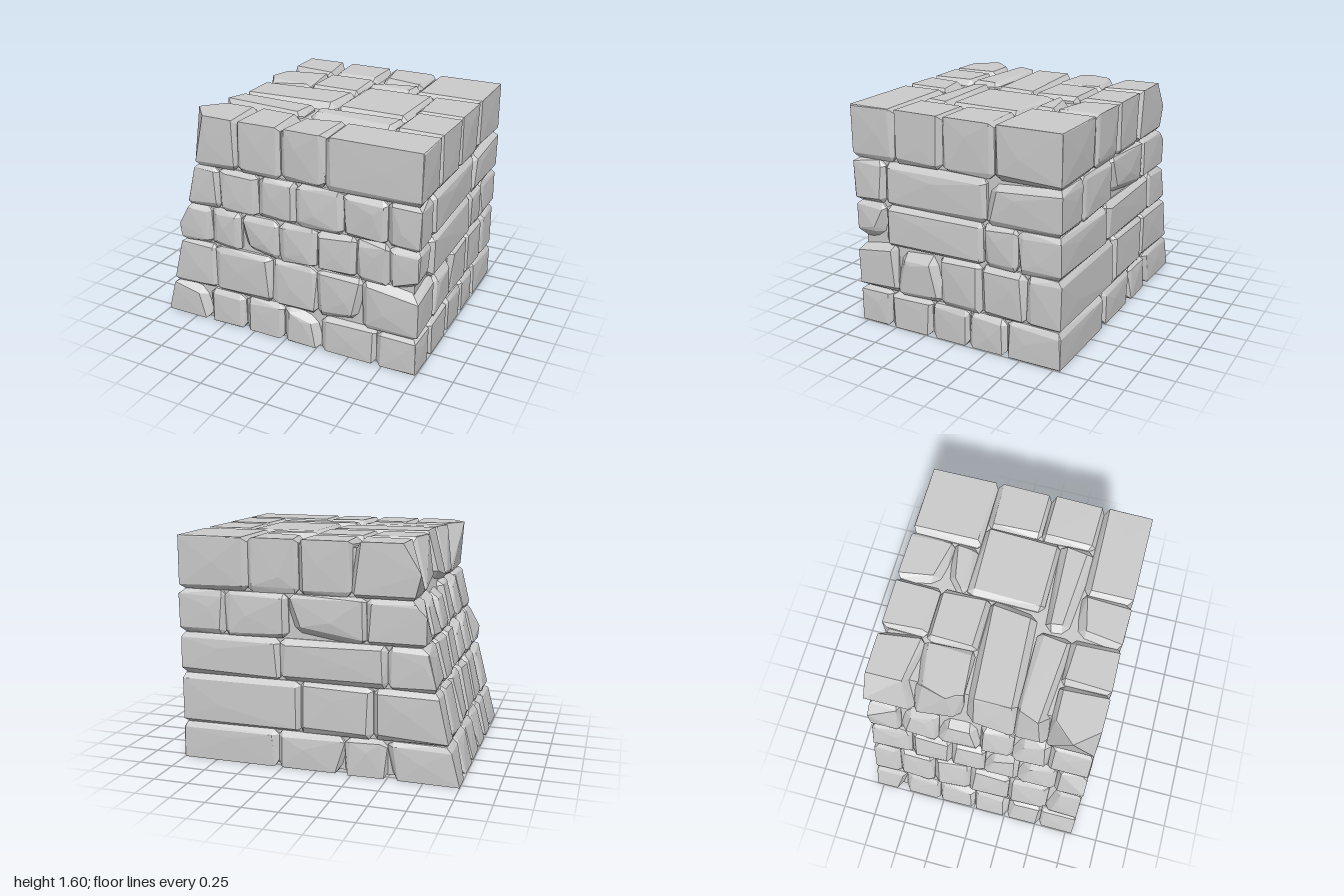
import * as THREE from 'three';
import { ConvexGeometry } from 'three/addons/geometries/ConvexGeometry.js';

const HALF_X = 1, HALF_Z = 0.8, TOP = 1.6, SLOPE = 0.25;

// Small seeded random generator
let seed = 11;
function rnd(a = 0, b = 1) {
  seed = (seed * 1664525 + 1013904223) % 4294967296;
  return a + (b - a) * (seed / 4294967296);
}

const material = new THREE.MeshStandardMaterial({ color: 0xcccccc, flatShading: true });

function hull(points, name) {
  const mesh = new THREE.Mesh(new ConvexGeometry(points), material);
  mesh.name = name;
  return mesh;
}

// One hewn stone: a box with irregular bevels along its joints and slightly uneven outer faces
function stone(x0, x1, y0, y1, z0, z1, name) {
  const lo = [x0, y0, z0], hi = [x1, y1, z1];
  const min = [-HALF_X, 0, -HALF_Z], max = [HALF_X, TOP, HALF_Z];
  const outer = (axis, s) => (s < 0 ? lo[axis] === min[axis] : hi[axis] === max[axis]);
  const battered = x0 === -HALF_X;
  const points = [];
  const add = (p, leftSide) => {
    if (battered && leftSide) p[0] += SLOPE * p[1];
    points.push(new THREE.Vector3(...p));
  };
  for (const sx of [-1, 1]) for (const sy of [-1, 1]) for (const sz of [-1, 1]) {
    const s = [sx, sy, sz];
    const corner = s.map((v, i) => (v < 0 ? lo[i] : hi[i]));
    const chip = rnd() < 0.1 ? 0.045 : 0;
    for (let face = 0; face < 3; face++) {
      const p = corner.map((c, i) => {
        if (i === face) return c - s[i] * (outer(i, s[i]) && i !== 1 ? rnd(0, 0.014) : 0);
        const sharp = outer(i, s[i]) && outer(face, s[face]);
        return c - s[i] * (sharp ? rnd(0, 0.01) : rnd(0.02, 0.048) + chip);
      });
      add(p, sx < 0);
    }
  }
  // A high spot on each outer face
  for (let axis = 0; axis < 3; axis++) for (const s of [-1, 1]) {
    if (!outer(axis, s)) continue;
    const p = lo.map((v, i) => v + (hi[i] - v) * rnd(0.3, 0.7));
    p[axis] = s < 0 ? lo[axis] : hi[axis];
    add(p, axis === 0 && s < 0);
  }
  return hull(points, name);
}

// Joint positions of each course: front and back along x, right and left along z
const courses = [
  { y: [0, 0.265], front: [-0.63, -0.33, -0.01, 0.28, 0.7], back: [-0.5, -0.2, 0.28],
    right: [-0.39, -0.1, 0.2, 0.54], left: [-0.56, -0.28, 0, 0.27, 0.53] },
  { y: [0.265, 0.625], front: [-0.56, -0.1, 0.25, 0.59], back: [-0.4, 0.12],
    right: [-0.54, -0.2, 0.12, 0.48], left: [-0.6, -0.33, -0.05, 0.25, 0.55] },
  { y: [0.625, 0.92], front: [-0.58, -0.34, -0.04, 0.25, 0.54, 0.78], back: [-0.5, 0.26],
    right: [-0.48, -0.22, 0.56], left: [-0.5, -0.2, 0.05, 0.3, 0.58] },
  { y: [0.92, 1.23], front: [-0.5, -0.19, 0.1, 0.45, 0.76], back: [-0.35, 0.2, 0.66],
    right: [-0.25, 0.55], left: [-0.58, -0.3, 0, 0.24, 0.5] },
];

// Paving of the top course: x0, x1, z0, z1
const topStones = [
  [-1, -0.25, -0.8, -0.48], [-0.25, 0.12, -0.8, -0.48], [0.12, 0.48, -0.8, -0.48],
  [0.48, 1, -0.8, -0.31], [0.12, 0.48, -0.48, -0.31],
  [-1, -0.27, -0.48, -0.13], [-0.27, 0.12, -0.48, -0.13], [0.12, 0.65, -0.31, 0.23],
  [0.65, 1, -0.31, 0.08], [0.65, 1, 0.08, 0.46],
  [-1, 0.12, -0.13, 0.23], [-1, -0.02, 0.23, 0.46], [-0.02, 0.65, 0.23, 0.46],
  [-1, -0.34, 0.46, 0.8], [-0.34, -0.01, 0.46, 0.8], [-0.01, 0.32, 0.46, 0.8], [0.32, 1, 0.46, 0.8],
];

// Underside infill: x0, x1, z0, z1
const baseStones = [
  [-0.5, 0.05, -0.5, -0.1], [0.05, 0.6, -0.5, -0.2], [-0.5, -0.1, -0.1, 0.5],
  [-0.1, 0.6, -0.2, 0.22], [-0.1, 0.6, 0.22, 0.5],
];

// A ring of stones around the block, with solid corner stones
function course({ y: [y0, y1], front, back, right, left }) {
  const group = new THREE.Group();
  for (const [side, joints] of [[1, front], [-1, back]]) {
    const xs = [-HALF_X, ...joints, HALF_X];
    for (let i = 0; i < xs.length - 1; i++) {
      const neighbour = i === 0 ? left : i === xs.length - 2 ? right : null;
      const inner = neighbour ? neighbour.at(side > 0 ? -1 : 0) : side * 0.5;
      const z = side > 0 ? [inner, HALF_Z] : [-HALF_Z, inner];
      group.add(stone(xs[i], xs[i + 1], y0, y1, ...z, side > 0 ? 'frontStone' : 'backStone'));
    }
  }
  for (let i = 0; i < right.length - 1; i++)
    group.add(stone(0.6, HALF_X, y0, y1, right[i], right[i + 1], 'rightStone'));
  for (let i = 0; i < left.length - 1; i++)
    group.add(stone(-HALF_X, -0.5, y0, y1, left[i], left[i + 1], 'leftStone'));
  return group;
}

export function createModel() {
  seed = 11;
  const model = new THREE.Group();
  model.name = 'stoneBlock';

  // Recessed mortar core
  const core = [], inset = 0.05;
  for (const y of [0.02, TOP - 0.045]) for (const z of [-1, 1]) {
    core.push(new THREE.Vector3(-HALF_X + SLOPE * y + inset, y, z * (HALF_Z - inset)));
    core.push(new THREE.Vector3(HALF_X - inset, y, z * (HALF_Z - inset)));
  }
  model.add(hull(core, 'mortarCore'));

  // Stacked courses
  courses.forEach((c, i) => {
    const ring = course(c);
    ring.name = `course${i + 1}`;
    model.add(ring);
  });

  // Top course and underside
  const top = new THREE.Group();
  top.name = 'topCourse';
  for (const [x0, x1, z0, z1] of topStones) top.add(stone(x0, x1, 1.23, TOP, z0, z1, 'topStone'));
  const base = new THREE.Group();
  base.name = 'baseInfill';
  for (const [x0, x1, z0, z1] of baseStones) base.add(stone(x0, x1, 0, 0.2, z0, z1, 'baseStone'));
  model.add(top, base);
  return model;
}
